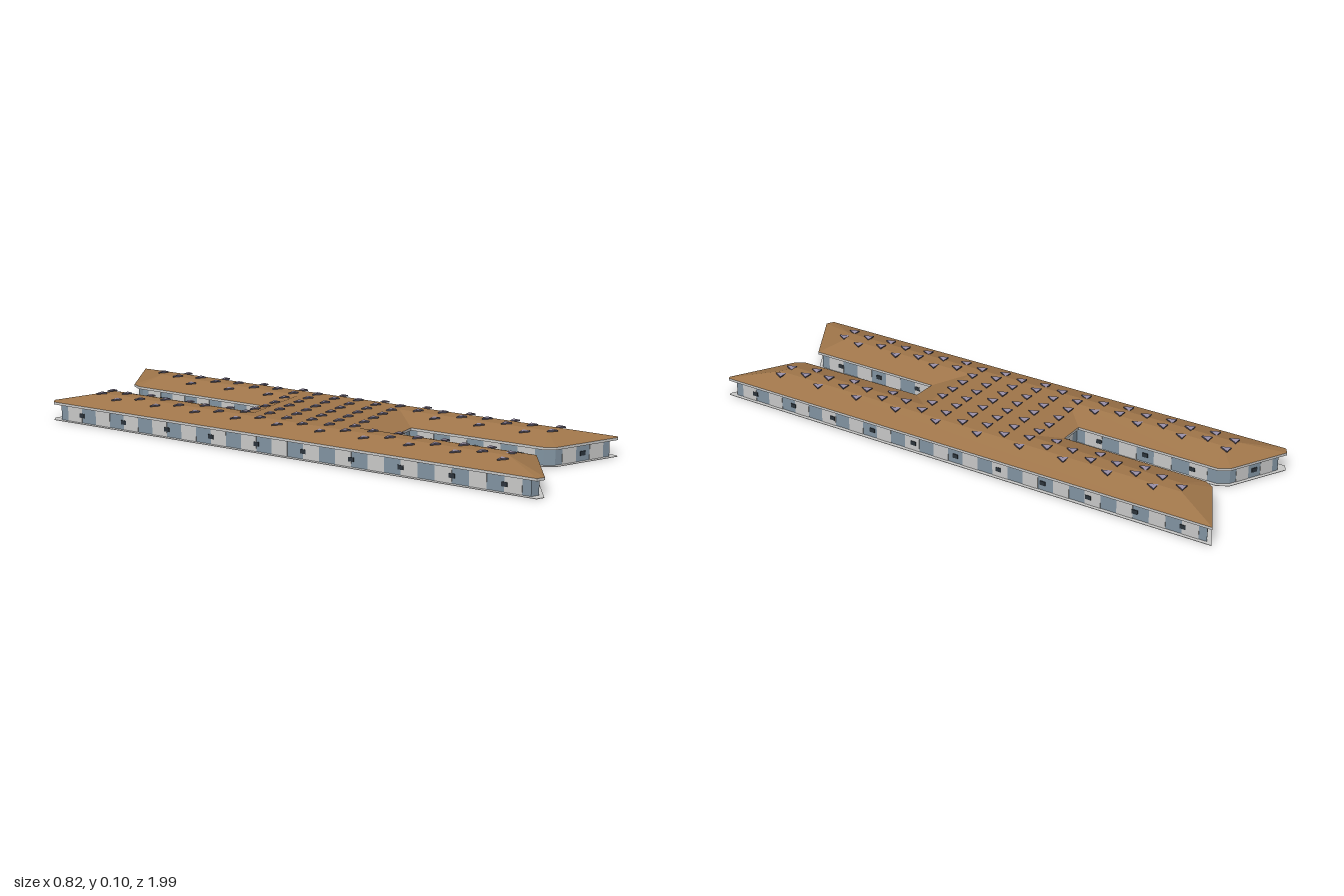
import * as THREE from 'three';

const mat = (name, color, side = THREE.FrontSide) => {
  const m = new THREE.MeshStandardMaterial({ color, side });
  m.name = name;
  return m;
};

// H-shaped plan: x, z, corner cut. Clockwise seen from above.
const PLAN = [
  [-0.415, -0.932, 0.03], [-0.153, -0.826, 0.026], [-0.09, -0.272, 0], [0.003, -0.283, 0],
  [-0.056, -0.845, 0.024], [0.177, -1.0, 0], [0.41, 0.943, 0.012], [0.143, 0.831, 0.022],
  [0.077, 0.32, 0], [-0.013, 0.33, 0], [0.046, 0.836, 0], [-0.18, 1.008, 0.03],
];

// Move every edge inwards by d and meet the edges again at the corners
function inset(plan, d) {
  const n = plan.length;
  const normal = (a, b) => {
    const l = Math.hypot(b[0] - a[0], b[1] - a[1]);
    return [-(b[1] - a[1]) / l, (b[0] - a[0]) / l];
  };
  return plan.map((p, i) => {
    const u = normal(plan[(i + n - 1) % n], p), v = normal(p, plan[(i + 1) % n]);
    const k = d / (1 + u[0] * v[0] + u[1] * v[1]);
    return [p[0] + (u[0] + v[0]) * k, p[1] + (u[1] + v[1]) * k, p[2]];
  });
}

// Cut the marked corners; each point remembers its corner number
function chamfer(plan) {
  const n = plan.length, out = [];
  plan.forEach((p, i) => {
    if (!p[2]) return out.push([p[0], p[1], i]);
    for (const q of [plan[(i + n - 1) % n], plan[(i + 1) % n]]) {
      const t = p[2] / Math.hypot(q[0] - p[0], q[1] - p[1]);
      out.push([p[0] + (q[0] - p[0]) * t, p[1] + (q[1] - p[1]) * t, i]);
    }
  });
  return out;
}

const toShape = (pts) => new THREE.Shape(pts.map((p) => new THREE.Vector2(p[0], -p[1])));

function prism(pts, y0, y1) {
  return new THREE.ExtrudeGeometry(toShape(pts), { depth: y1 - y0, bevelEnabled: false })
    .rotateX(-Math.PI / 2).translate(0, y0, 0);
}

// Signed distance to the plan edge, positive inside
function depthInside(x, z) {
  let inside = false, best = Infinity;
  PLAN.forEach((a, i) => {
    const b = PLAN[(i + 1) % PLAN.length];
    if ((a[1] > z) !== (b[1] > z) && x < a[0] + ((z - a[1]) / (b[1] - a[1])) * (b[0] - a[0])) inside = !inside;
    const ex = b[0] - a[0], ez = b[1] - a[1];
    const t = Math.min(1, Math.max(0, ((x - a[0]) * ex + (z - a[1]) * ez) / (ex * ex + ez * ez)));
    best = Math.min(best, Math.hypot(x - a[0] - ex * t, z - a[1] - ez * t));
  });
  return inside ? best : -best;
}

export function createModel() {
  const model = new THREE.Group();
  model.name = 'building';
  const slate = mat('slateWall', 0x8294a2);
  const pale = mat('palePanel', 0xc9c9c8);
  const glass = mat('darkWindow', 0x2b333b);
  const brown = mat('brownRoof', 0xa0764a, THREE.DoubleSide);
  const lilac = mat('lilacVent', 0x9a90a8);
  const dark = mat('darkVentEdge', 0x4b4757);

  const add = (name, geometry, material, parent = model) => {
    const mesh = new THREE.Mesh(geometry, material);
    mesh.name = name;
    parent.add(mesh);
    return mesh;
  };

  const eaves = chamfer(PLAN);
  const walls = chamfer(inset(PLAN, 0.014));
  const EAVE = 0.067, TOP = 0.097, RUN = 0.1;

  // Ground slab, walls and eaves
  add('groundSlab', prism(eaves, 0, 0.0015), pale);
  add('walls', prism(walls, 0.0015, 0.058), slate);
  add('eaves', prism(eaves, 0.058, EAVE), pale);

  // Sloping roof sides
  const ridge = inset(PLAN, RUN), pos = [];
  eaves.forEach((a, i) => {
    const b = eaves[(i + 1) % eaves.length];
    const ra = ridge[a[2]], rb = ridge[b[2]];
    pos.push(a[0], EAVE, a[1], rb[0], TOP, rb[1], b[0], EAVE, b[1]);
    if (ra !== rb) pos.push(a[0], EAVE, a[1], ra[0], TOP, ra[1], rb[0], TOP, rb[1]);
  });
  const slopes = new THREE.BufferGeometry();
  slopes.setAttribute('position', new THREE.Float32BufferAttribute(pos, 3));
  slopes.computeVertexNormals();
  add('roofSlopes', slopes, brown);
  add('roofTop', new THREE.ShapeGeometry(toShape(ridge)).rotateX(-Math.PI / 2).translate(0, TOP, 0), brown);

  // Wall panels and windows along every wall
  const facade = new THREE.Group();
  facade.name = 'facade';
  model.add(facade);
  const panelGeo = new THREE.BoxGeometry(1, 0.0565, 0.003);
  const windowGeo = new THREE.BoxGeometry(0.021, 0.015, 0.006);
  walls.forEach((a, i) => {
    const b = walls[(i + 1) % walls.length];
    const dx = b[0] - a[0], dz = b[1] - a[1], len = Math.hypot(dx, dz);
    if (len < 0.05) return;
    const place = (mesh, s, y) => {
      mesh.position.set(a[0] + (dx * s) / len, y, a[1] + (dz * s) / len);
      mesh.rotation.y = Math.atan2(-dz, dx);
    };
    const plainEnd = a[2] === 10; // end wall without pale panels
    const strips = plainEnd ? 0 : Math.max(1, Math.round(len / 0.12));
    for (let k = 0; k < strips; k++) {
      const panel = add('wallPanel', panelGeo, pale, facade);
      panel.scale.x = (len / strips) * 0.5;
      place(panel, ((k + 0.5) * len) / strips, 0.0298);
    }
    const count = Math.max(1, Math.round(len / 0.177));
    for (let k = 0; k < count; k++) place(add('window', windowGeo, glass, facade), ((k + 0.5) * len) / count, 0.028);
  });

  // Staggered rows of tilted roof vents
  const vents = new THREE.Group();
  vents.name = 'roofVents';
  model.add(vents);
  const tri = toShape([[-0.017, -0.014], [0.017, -0.014], [0.002, 0.017]]);
  const ventGeo = new THREE.ExtrudeGeometry(tri, { depth: 0.005, bevelEnabled: false })
    .rotateX(-Math.PI / 2).rotateX(-0.1);
  for (let i = -9; i <= 14; i++) {
    for (let j = -8; j <= 8; j++) {
      const u = -0.207 + i * 0.084, v = -0.041 + (j + (i % 2 ? 0.4 : 0)) * 0.063;
      const x = 0.122 * u + 0.9925 * v, z = 0.9925 * u - 0.115 * v;
      const d = depthInside(x, z);
      if (d < 0.066) continue;
      const vent = add('roofVent', ventGeo, [lilac, dark], vents);
      vent.position.set(x, EAVE + Math.min(1, d / RUN) * (TOP - EAVE) + 0.001, z);
      vent.rotation.y = 0.12;
    }
  }
  return model;
}
